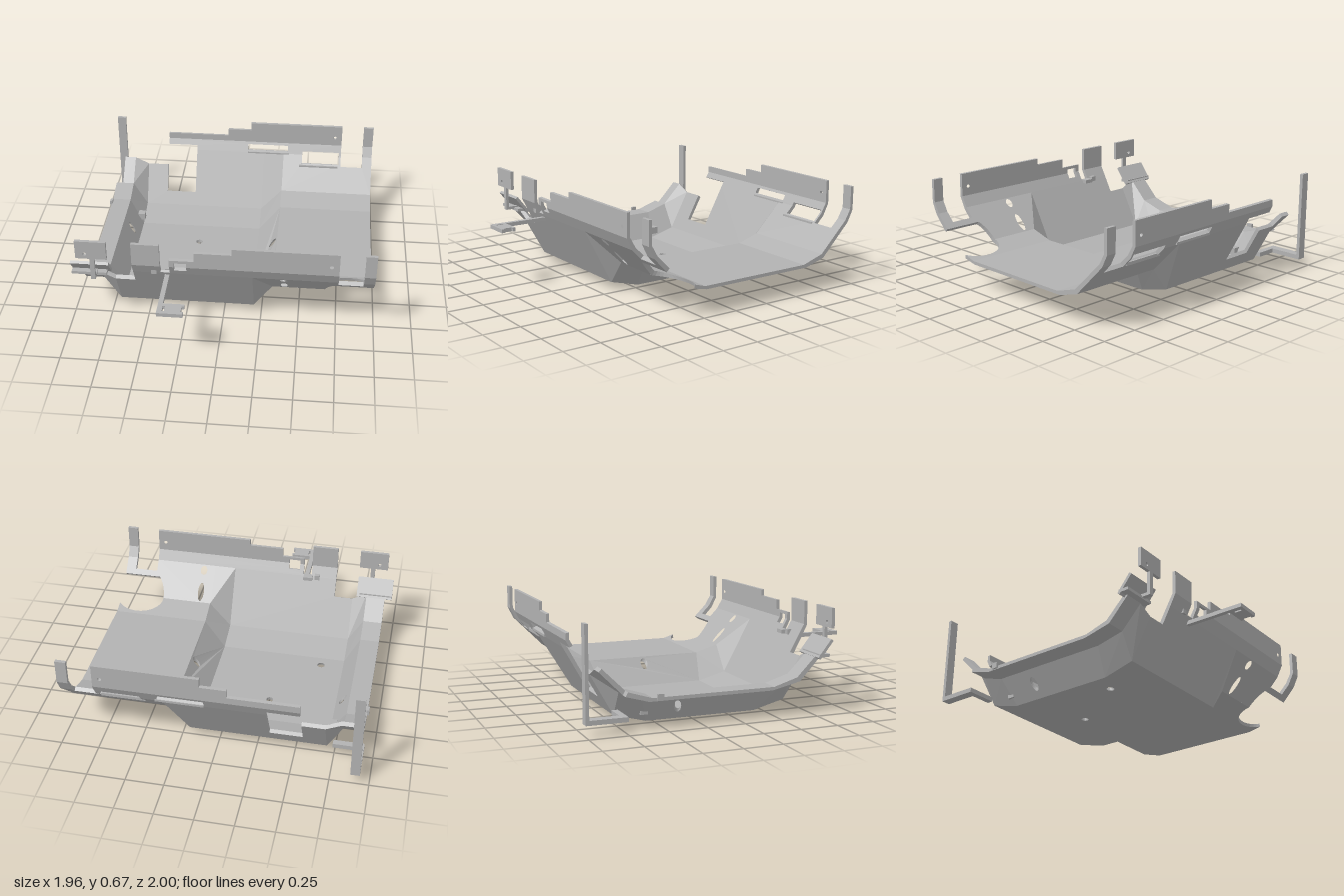
import * as THREE from 'three';

const metal = new THREE.MeshStandardMaterial({ color: 0xb2b2b2 });
metal.name = 'grey sheet metal';

// Cross-section nodes [z, y] from front rim to back rim, as [outer, inner] skins
const rim = (a, b) => [a, b];
const frontRim = [rim([0.65, 0.67], [0.628, 0.67]), rim([0.65, 0.51], [0.628, 0.515]), rim([0.61, 0.43], [0.588, 0.445])];
const backRim = [rim([-0.96, 0.43], [-0.938, 0.445]), rim([-1, 0.51], [-0.978, 0.515]), rim([-1, 0.67], [-0.978, 0.67])];
const deep = [...frontRim,
  rim([0.41, 0.055], [0.385, 0.075]), rim([0.2, 0], [0.19, 0.022]),
  rim([-0.54, 0], [-0.54, 0.022]), rim([-0.75, 0.055], [-0.735, 0.075]), ...backRim];
const shallow = [...frontRim,
  rim([0.41, 0.218], [0.39, 0.245]), rim([0.22, 0.175], [0.23, 0.197]),
  rim([-0.6, 0.175], [-0.58, 0.197]), rim([-0.75, 0.218], [-0.735, 0.245]), ...backRim];

// Each row between two nodes is measured by y (rims) or z (walls and floor)
const ROWS = [[0.67, 0.51], [0.51, 0.43], [0.61, 0.41], [0.41, 0.2], [0.2, -0.54],
  [-0.54, -0.75], [-0.75, -0.96], [0.43, 0.51], [0.51, 0.67]];
const STRIPS = [-0.93, -0.8, -0.7, 0.2, 0.32, 0.98];
const mix = THREE.MathUtils.lerp;

// 1 inside the deep well, 0 on the shelves beside it
const wellAt = (x) => THREE.MathUtils.clamp(Math.min((x + 0.8) / 0.1, (0.32 - x) / 0.12), 0, 1);

function bend(x, row, v, d) {
  const w = wellAt(x);
  const at = (axis) => {
    const node = (p, i) => mix(p[i][0][axis], p[i][1][axis], d);
    const along = (p) => mix(node(p, row), node(p, row + 1), v);
    return mix(along(shallow), along(deep), w);
  };
  const shift = Math.abs(x - 0.2) < 1e-4 ? -0.03 * d : 0;
  return [x + shift, at(1), at(0)];
}

const ring = (x, c, rx, rc = rx, n = 20) =>
  Array.from({ length: n }, (_, i) => [x + rx * Math.cos(i * 2 * Math.PI / n), c + rc * Math.sin(i * 2 * Math.PI / n)]);
const arc = (x, z, r, a0, a1, n = 16) =>
  Array.from({ length: n + 1 }, (_, i) => { const a = mix(a0, a1, i / n); return [x + r * Math.cos(a), z + r * Math.sin(a)]; });
const rect = (x0, x1, a, b) => [[x0, a], [x1, a], [x1, b], [x0, b]];
const toVec = (pts) => pts.map(([x, y]) => new THREE.Vector2(x, y));

function cutShape(outline, holes) {
  const shape = new THREE.Shape(toVec(outline));
  holes.forEach((h) => shape.holes.push(new THREE.Path(toVec(h))));
  return shape;
}

// A sheet panel cut flat, then bent onto one row of the cross-section
function panel(group, name, row, outline, holes = []) {
  const [a, b] = ROWS[row];
  const flat = (pts) => pts.map(([x, c]) => [x, (c - a) / (b - a)]);
  const geo = new THREE.ExtrudeGeometry(cutShape(flat(outline), holes.map(flat)), { depth: 1, bevelEnabled: false });
  const p = geo.attributes.position;
  for (let i = 0; i < p.count; i++) p.setXYZ(i, ...bend(p.getX(i), row, p.getY(i), p.getZ(i)));
  geo.computeVertexNormals();
  const mesh = new THREE.Mesh(geo, metal);
  mesh.name = name;
  group.add(mesh);
}

function bar(group, name, x0, x1, y0, y1, z0, z1, tilt = 0) {
  const mesh = new THREE.Mesh(new THREE.BoxGeometry(x1 - x0, y1 - y0, z1 - z0), metal);
  mesh.position.set((x0 + x1) / 2, (y0 + y1) / 2, (z0 + z1) / 2);
  mesh.rotation.x = tilt;
  mesh.name = name;
  group.add(mesh);
}

function part(parent, name) {
  const g = new THREE.Group();
  g.name = name;
  parent.add(g);
  return g;
}

export function createModel() {
  const model = new THREE.Group();
  model.name = 'underbodyGuard';

  // Floor with drain holes and its sloped borders
  const floor = part(model, 'floor');
  const drains = [[], [ring(-0.75, -0.33, 0.024)], [ring(-0.255, -0.33, 0.024), ring(-0.545, 0.12, 0.026)],
    [ring(0.288, -0.18, 0.024)], []];
  for (let s = 0; s < 5; s++) {
    const [x0, x1] = [STRIPS[s], STRIPS[s + 1]];
    panel(floor, 'floorPanel', 4, rect(x0, x1, 0.2, -0.54), drains[s]);
    panel(floor, 'backBorder', 5, rect(x0, x1, -0.54, -0.75));
    if (s < 4) panel(floor, 'frontBorder', 3, rect(x0, x1, 0.41, 0.2));
  }
  // Border with the lower part of the round opening
  panel(floor, 'frontBorder', 3, [[0.32, 0.41], ...arc(0.84, 0.4, 0.17, Math.PI - 0.059, 2 * Math.PI - 0.602),
    [0.98, 0.2], [0.32, 0.2]]);

  // Front wall
  const front = part(model, 'frontWall');
  panel(front, 'frontSlope', 2, rect(-0.93, -0.8, 0.55, 0.41));
  panel(front, 'frontSlope', 2, rect(-0.8, -0.7, 0.55, 0.41));
  panel(front, 'frontSlope', 2, [[-0.7, 0.41], [0.2, 0.41], [0.2, 0.61], [-0.57, 0.61], [-0.57, 0.55], [-0.7, 0.55]]);
  panel(front, 'frontSlope', 2, rect(0.2, 0.32, 0.61, 0.41));
  panel(front, 'frontSlope', 2, [[0.32, 0.61], [0.32, 0.41], ...arc(0.84, 0.4, 0.17, Math.PI - 0.059, Math.PI - 0.784, 6),
    [0.98, 0.52], [0.98, 0.61], [0.91, 0.61], [0.91, 0.55], [0.75, 0.55], [0.75, 0.61]],
  [ring(0.4, 0.58, 0.024), ring(0.4, 0.465, 0.022, 0.048)]);
  panel(front, 'frontBend', 1, [[-0.57, 0.43], [0.75, 0.43], [0.75, 0.51], [-0.22, 0.51], [-0.22, 0.47], [-0.3, 0.47],
    [-0.3, 0.51], [-0.33, 0.51], [-0.33, 0.44], [-0.39, 0.44], [-0.39, 0.51], [-0.57, 0.51]]);
  panel(front, 'frontFlange', 0, [[-0.33, 0.51], [-0.3, 0.51], [-0.3, 0.54], [-0.22, 0.54], [-0.22, 0.51], [0.75, 0.51],
    [0.75, 0.67], [0.07, 0.67], [0.07, 0.625], [-0.17, 0.625], [-0.17, 0.56], [-0.33, 0.56]], [ring(0.7, 0.575, 0.012)]);
  panel(front, 'frontTab', 0, rect(-0.57, -0.39, 0.51, 0.67));

  // Back wall with its windows
  const back = part(model, 'backWall');
  panel(back, 'backSlope', 6, rect(-0.88, -0.8, -0.75, -0.9));
  panel(back, 'backSlope', 6, rect(-0.8, -0.7, -0.75, -0.9));
  panel(back, 'backSlope', 6, [[-0.7, -0.75], [0.2, -0.75], [0.2, -0.96], [-0.335, -0.96], [-0.335, -0.8], [-0.55, -0.8],
    [-0.55, -0.9], [-0.7, -0.9]]);
  panel(back, 'backSlope', 6, rect(0.2, 0.32, -0.75, -0.96));
  panel(back, 'backSlope', 6, [[0.32, -0.75], [0.98, -0.75], [0.98, -0.96], [0.91, -0.96], [0.91, -0.9], [0.75, -0.9],
    [0.75, -0.96], [0.735, -0.96], [0.735, -0.91], [0.46, -0.91], [0.46, -0.96], [0.32, -0.96]]);
  panel(back, 'backBend', 7, [[-0.55, 0.465], [-0.335, 0.465], [-0.335, 0.43], [0.46, 0.43], [0.46, 0.455], [0.735, 0.455],
    [0.735, 0.43], [0.75, 0.43], [0.75, 0.51], [-0.55, 0.51]], [rect(0.05, 0.35, 0.45, 0.49)]);
  panel(back, 'backFlange', 8, [[-0.55, 0.51], [0.75, 0.51], [0.75, 0.67], [0.07, 0.67], [0.07, 0.61], [-0.1, 0.61],
    [-0.1, 0.555], [-0.55, 0.555]], [ring(0.7, 0.575, 0.012)]);
  bar(back, 'windowLip', 0.44, 0.73, 0.37, 0.39, -0.91, -0.87);
  bar(back, 'slotLip', 0.05, 0.36, 0.435, 0.45, -0.975, -0.935);

  // Upright tabs at the end of both walls
  const tabs = part(model, 'endTabs');
  for (const row of [0, 1, 7, 8]) panel(tabs, 'endTab', row, rect(0.91, 0.98, ...ROWS[row]));

  // Bent strap at the back corner
  const strap = part(model, 'backStrap');
  bar(strap, 'strapPost', -0.94, -0.88, 0.07, 0.67, -1, -0.978);
  bar(strap, 'strapFoot', -0.94, -0.88, 0.068, 0.098, -1, -0.735);
  bar(strap, 'strapLink', -0.94, -0.74, 0.068, 0.098, -0.775, -0.735);

  // Corner bracket with a raised plate
  const bracket = part(model, 'cornerBracket');
  bar(bracket, 'bracketBase', -0.98, -0.73, 0.41, 0.43, 0.49, 0.635, -0.9);
  bar(bracket, 'bracketLedge', -0.98, -0.75, 0.37, 0.39, 0.52, 0.59);
  bar(bracket, 'bracketStem', -0.84, -0.81, 0.38, 0.55, 0.63, 0.65);
  bar(bracket, 'bracketFoot', -0.84, -0.81, 0.38, 0.4, 0.56, 0.65);
  const plate = new THREE.Mesh(new THREE.ExtrudeGeometry(
    cutShape(rect(-0.93, -0.73, 0.54, 0.67), [ring(-0.87, 0.575, 0.012)]), { depth: 0.022, bevelEnabled: false }), metal);
  plate.position.z = 0.628;
  plate.name = 'bracketPlate';
  bracket.add(plate);

  // Flat arm reaching forward with a slotted end
  const armShape = cutShape([[-0.365, 0.58], [-0.335, 0.58], [-0.335, 0.9], [-0.2, 0.9], [-0.2, 0.92], [-0.215, 0.92],
    [-0.215, 0.975], [-0.2, 0.975], [-0.2, 1], [-0.365, 1]], [rect(-0.332, -0.318, 0.925, 0.975)]);
  const arm = new THREE.Mesh(new THREE.ExtrudeGeometry(armShape, { depth: 0.026, bevelEnabled: false }).rotateX(Math.PI / 2), metal);
  arm.position.y = 0.415;
  arm.name = 'frontArm';
  model.add(arm);
  bar(model, 'armClip', -0.4, -0.335, 0.43, 0.455, 0.55, 0.6);

  // Small clips and stud
  bar(model, 'floorClip', -0.74, -0.69, 0.05, 0.1, -0.59, -0.54);
  bar(model, 'edgeClip', -0.942, -0.925, 0.18, 0.22, -0.55, -0.51);
  bar(model, 'wallStud', -0.45, -0.415, 0.43, 0.465, 0.57, 0.625);
  return model;
}
